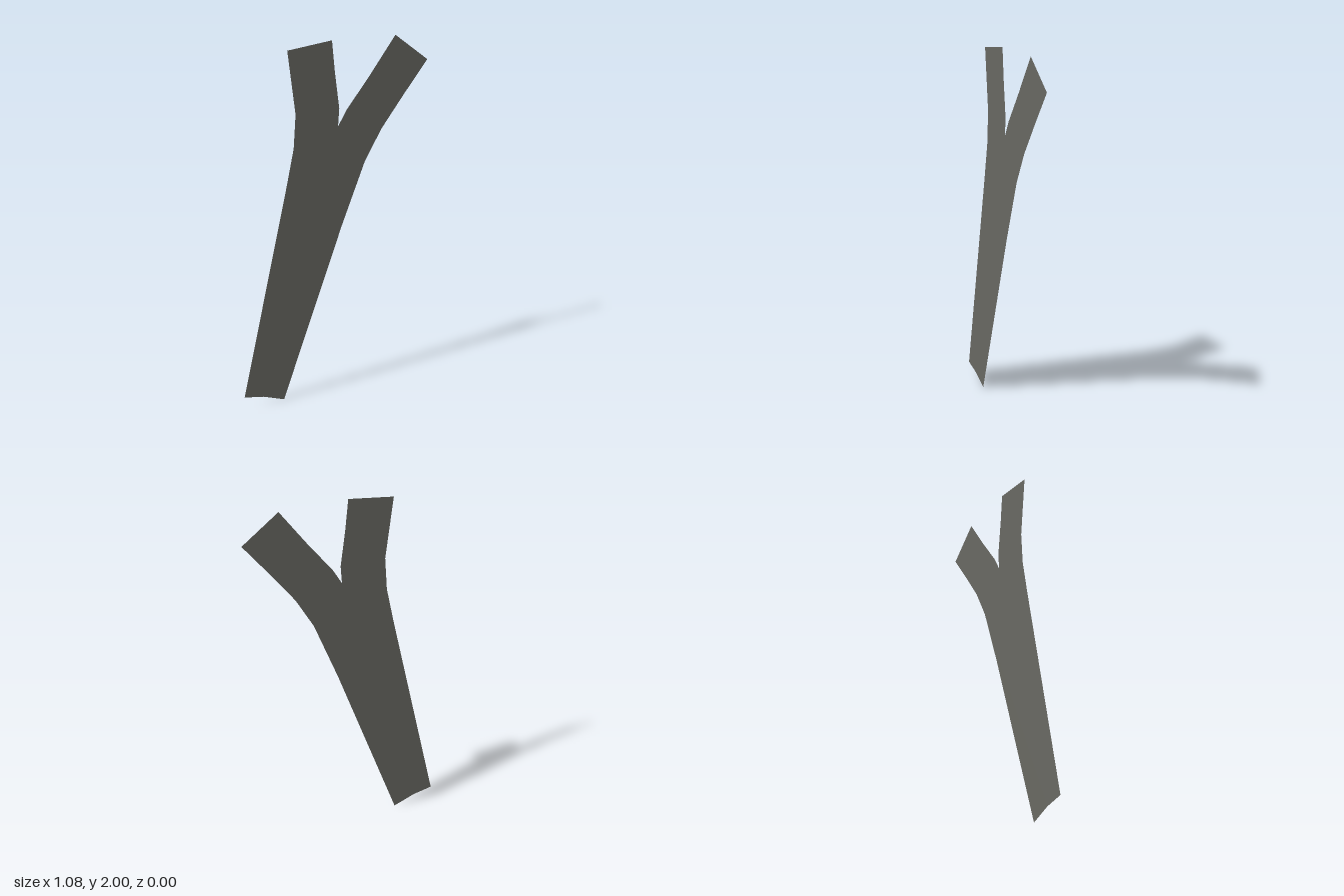
import * as THREE from 'three';

export function createModel() {
  const model = new THREE.Group();
  model.name = 'forkedStrip';

  // Outline of the flat forked strip, clockwise from the upper left corner
  const outline = [
    // left branch end and its inner edge down to the fork
    [-0.257, 1.973], [-0.013, 2.0], [0.003, 1.835], [0.028, 1.64], [0.021, 1.545],
    // right branch: inner edge, end, outer edge
    [0.071, 1.629], [0.2, 1.793], [0.347, 1.992], [0.54, 1.843],
    [0.405, 1.671], [0.273, 1.496], [0.177, 1.327],
    // trunk: right edge, bent foot, left edge
    [0.045, 0.988], [-0.31, 0], [-0.431, 0.048], [-0.543, 0.072],
    [-0.273, 1.258], [-0.23, 1.46], [-0.217, 1.64],
  ].map(([x, y]) => new THREE.Vector2(x, y));

  const surface = new THREE.Mesh(
    new THREE.ShapeGeometry(new THREE.Shape(outline)),
    new THREE.MeshStandardMaterial({ color: 0x686862, side: THREE.DoubleSide })
  );
  surface.name = 'forkedSurface';
  surface.position.z = 0.024;
  model.add(surface);

  return model;
}
